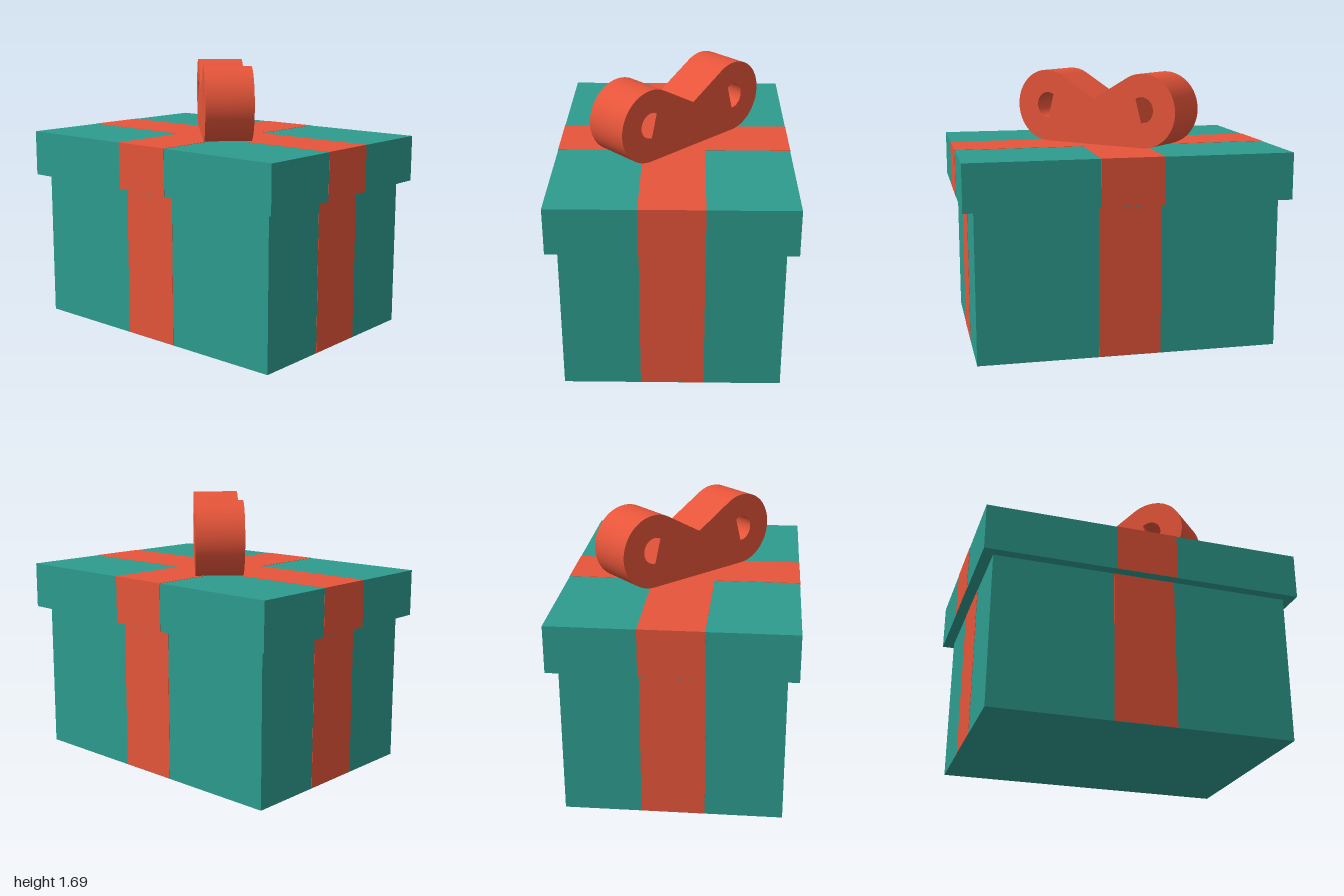
import * as THREE from 'three';
import { toCreasedNormals } from 'three/addons/utils/BufferGeometryUtils.js';

const teal = new THREE.MeshStandardMaterial({ color: 0x2d9c8e });
const red = new THREE.MeshStandardMaterial({ color: 0xe6553a });

const RIBBON = 0.385; // ribbon width
const SKIN = 0.0015;  // how far the ribbon stands off the box

function block(name, material, w, d, y0, y1) {
  const mesh = new THREE.Mesh(new THREE.BoxGeometry(w, y1 - y0, d), material);
  mesh.position.y = (y0 + y1) / 2;
  mesh.name = name;
  return mesh;
}

// A box with two ribbon bands crossing over it
function wrappedBox(name, w, d, y0, y1, bandBottom, bandTop) {
  const group = new THREE.Group();
  group.name = name;
  group.add(
    block(name + 'Panels', teal, w, d, y0, y1),
    block(name + 'RibbonFrontBack', red, RIBBON, d + 2 * SKIN, bandBottom, bandTop),
    block(name + 'RibbonSides', red, w + 2 * SKIN, RIBBON, bandBottom, bandTop)
  );
  return group;
}

// Two-lobed bow outline with a teardrop hole in each lobe
function bowGeometry(depth) {
  const rad = THREE.MathUtils.degToRad;
  const cx = 0.36, cy = 0.23, r = 0.23;
  const shape = new THREE.Shape();
  shape.moveTo(-cx, 0);
  shape.lineTo(cx, 0);
  shape.absarc(cx, cy, r, rad(-90), rad(119), false);
  shape.lineTo(0, 0.29);
  shape.absarc(-cx, cy, r, rad(61), rad(270), false);

  for (const side of [1, -1]) {
    const hole = new THREE.Path();
    hole.moveTo(side * 0.082, 0.158);
    const from = side > 0 ? -92 : 272;
    const to = side > 0 ? 123 : 57;
    hole.absarc(side * 0.355, 0.235, 0.081, rad(from), rad(to), side < 0);
    hole.closePath();
    shape.holes.push(hole);
  }
  const geo = new THREE.ExtrudeGeometry(shape, { depth, bevelEnabled: false, curveSegments: 32 });
  geo.translate(0, 0, -depth / 2);
  return toCreasedNormals(geo, rad(30));
}

export function createModel() {
  const model = new THREE.Group();
  model.name = 'giftBox';

  model.add(wrappedBox('body', 1.864, 1.32, 0, 0.95, SKIN, 0.94));
  model.add(wrappedBox('lid', 2 - 2 * SKIN, 1.45, 0.94, 1.23, 0.94 + SKIN, 1.23 + SKIN));

  // Bow set diagonally on the lid
  const bow = new THREE.Mesh(bowGeometry(0.293), red);
  bow.name = 'bow';
  bow.position.set(0.01, 1.232, -0.015);
  bow.rotation.y = -Math.PI / 4;
  model.add(bow);

  return model;
}
